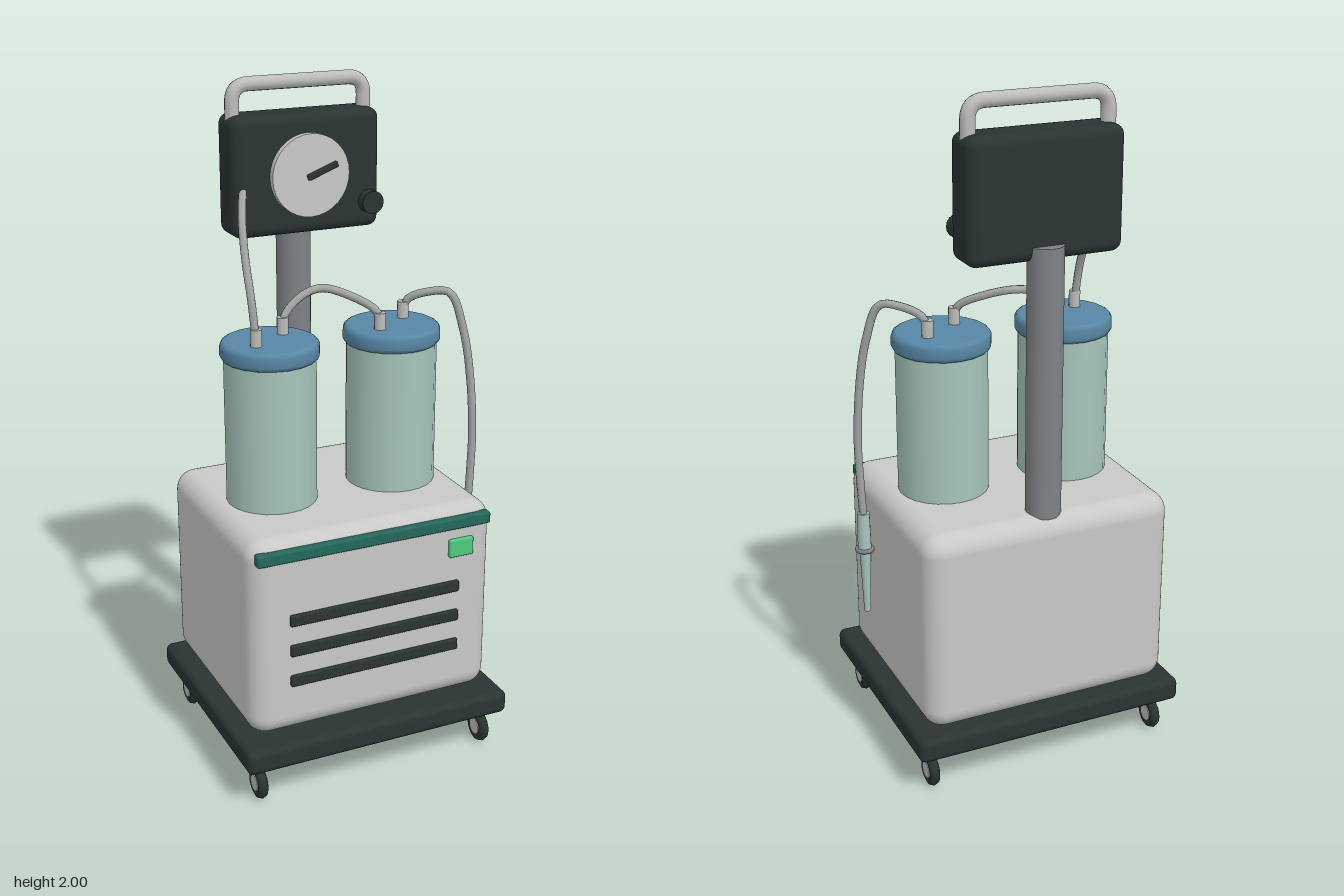
import * as THREE from 'three';
import { RoundedBoxGeometry } from 'three/addons/geometries/RoundedBoxGeometry.js';

const mat = (name, color) => {
  const m = new THREE.MeshStandardMaterial({ color });
  m.name = name;
  return m;
};
const V = (x, y, z) => new THREE.Vector3(x, y, z);

export function createModel() {
  const model = new THREE.Group();
  model.name = 'suctionPump';
  const shell = mat('shellGrey', 0xc8c8c6);
  const dark = mat('darkPlastic', 0x2a3433);
  const glass = mat('paleGreenJar', 0xa6c4bb);
  const blue = mat('lidBlue', 0x5787a5);
  const steel = mat('poleSteel', 0x7f8386);
  const metal = mat('brightMetal', 0xbdbdba);
  const hoseGrey = mat('hoseGrey', 0xa3a5a3);
  const teal = mat('trimTeal', 0x24685b);
  const green = mat('switchGreen', 0x4ecb7f);

  const add = (name, geo, material, x = 0, y = 0, z = 0, parent = model) => {
    const m = new THREE.Mesh(geo, material);
    m.name = name;
    m.position.set(x, y, z);
    parent.add(m);
    return m;
  };
  const rbox = (w, h, d, r, s = 3) => new RoundedBoxGeometry(w, h, d, s, r);
  const cyl = (rt, rb, h, n = 20) => new THREE.CylinderGeometry(rt, rb, h, n);
  const tube = (pts, r, n = 32) =>
    new THREE.TubeGeometry(new THREE.CatmullRomCurve3(pts), n, r, 8);
  const CX = -0.013;

  // Trolley base and cabinet
  add('base', rbox(0.848, 0.073, 0.73, 0.02), dark, CX, 0.157, 0);
  add('cabinet', rbox(0.773, 0.615, 0.65, 0.06, 5), shell, CX, 0.504, -0.017);

  // Cabinet front details
  add('trimStrip', rbox(0.736, 0.036, 0.03, 0.006, 2), teal, CX, 0.767, 0.303);
  add('powerSwitch', rbox(0.078, 0.056, 0.02, 0.005, 2), green, 0.26, 0.689, 0.31);
  for (const y of [0.564, 0.468, 0.371])
    add('ventSlot', rbox(0.54, 0.036, 0.02, 0.006, 2), dark, CX, y, 0.308);

  // Casters
  for (const x of [-0.38, 0.355]) for (const z of [0.29, -0.29]) {
    const caster = new THREE.Group();
    caster.name = 'caster';
    caster.position.set(x, 0, z);
    model.add(caster);
    add('casterStem', cyl(0.02, 0.02, 0.04, 12), metal, 0, 0.108, 0, caster);
    add('casterFork', new THREE.BoxGeometry(0.024, 0.05, 0.03), metal, 0, 0.085, 0, caster);
    add('wheel', new THREE.TorusGeometry(0.034, 0.016, 8, 20), dark, 0, 0.05, 0, caster)
      .rotation.y = Math.PI / 2;
    add('wheelHub', cyl(0.025, 0.025, 0.03, 16), metal, 0, 0.05, 0, caster)
      .rotation.z = Math.PI / 2;
  }

  // Collection jars with bevelled lids and hose ports
  const lidProfile = [[0, 0], [0.131, 0], [0.132, 0], [0.139, 0.004], [0.144, 0.014],
    [0.144, 0.04], [0.139, 0.05], [0.132, 0.054], [0.131, 0.054], [0, 0.054]]
    .map(([r, y]) => new THREE.Vector2(r, y));
  for (const x of [-0.205, 0.182]) {
    add('jar', cyl(0.134, 0.134, 0.45, 24), glass, x, 1.025, 0);
    add('jarLid', new THREE.LatheGeometry(lidProfile, 20), blue, x, 1.241, 0);
    for (const s of [-1, 1])
      add('hosePort', cyl(0.017, 0.017, 0.055, 12), metal, x + s * 0.057, 1.317, s * -0.039);
  }

  // Hoses
  add('gaugeHose', tube([V(-0.263, 1.32, 0.039), V(-0.266, 1.42, 0.02), V(-0.262, 1.53, -0.03),
    V(-0.245, 1.63, -0.092), V(-0.212, 1.69, -0.165)], 0.012), hoseGrey);
  add('linkHose', tube([V(-0.148, 1.32, -0.039), V(-0.138, 1.35, -0.043), V(-0.08, 1.393, -0.058),
    V(-0.013, 1.407, -0.064), V(0.055, 1.388, -0.022), V(0.115, 1.35, 0.03),
    V(0.125, 1.32, 0.039)], 0.012), hoseGrey);
  add('patientHose', tube([V(0.239, 1.32, -0.039), V(0.25, 1.352, -0.03), V(0.3, 1.378, 0.008),
    V(0.35, 1.378, 0.044), V(0.384, 1.27, 0.07), V(0.402, 1.12, 0.09), V(0.409, 0.95, 0.1),
    V(0.405, 0.82, 0.102), V(0.399, 0.7, 0.102)], 0.012, 48), hoseGrey);

  // Suction wand at the end of the hose
  add('wandGrip', cyl(0.018, 0.021, 0.125, 14), glass, 0.399, 0.657, 0.102);
  add('wandTip', cyl(0.018, 0.01, 0.21, 14), glass, 0.397, 0.495, 0.102);
  add('wandFlange', new THREE.TorusGeometry(0.023, 0.007, 8, 18), steel, 0.399, 0.6, 0.102)
    .rotation.x = Math.PI / 2;

  // Pole and gauge head
  add('pole', cyl(0.052, 0.052, 0.79, 20), steel, CX, 1.196, -0.27);
  add('gaugeHead', rbox(0.46, 0.348, 0.134, 0.03), dark, CX, 1.722, -0.221);
  add('dial', cyl(0.12, 0.12, 0.03, 32), shell, CX, 1.722, -0.148).rotation.x = Math.PI / 2;
  add('needle', rbox(0.1, 0.018, 0.012, 0.004, 2), dark, 0.021, 1.734, -0.129)
    .rotation.z = 0.36;
  add('knob', cyl(0.034, 0.034, 0.05, 16), dark, 0.179, 1.628, -0.146)
    .rotation.x = Math.PI / 2;

  // Carry handle with rounded corners
  const path = new THREE.CurvePath();
  const hx = 0.205, top = 1.979, r = 0.05, hz = -0.222;
  const L = CX - hx, R = CX + hx;
  path.add(new THREE.LineCurve3(V(L, 1.87, hz), V(L, top - r, hz)));
  path.add(new THREE.QuadraticBezierCurve3(V(L, top - r, hz), V(L, top, hz), V(L + r, top, hz)));
  path.add(new THREE.LineCurve3(V(L + r, top, hz), V(R - r, top, hz)));
  path.add(new THREE.QuadraticBezierCurve3(V(R - r, top, hz), V(R, top, hz), V(R, top - r, hz)));
  path.add(new THREE.LineCurve3(V(R, top - r, hz), V(R, 1.87, hz)));
  add('carryHandle', new THREE.TubeGeometry(path, 60, 0.021, 12), metal);

  return model;
}
